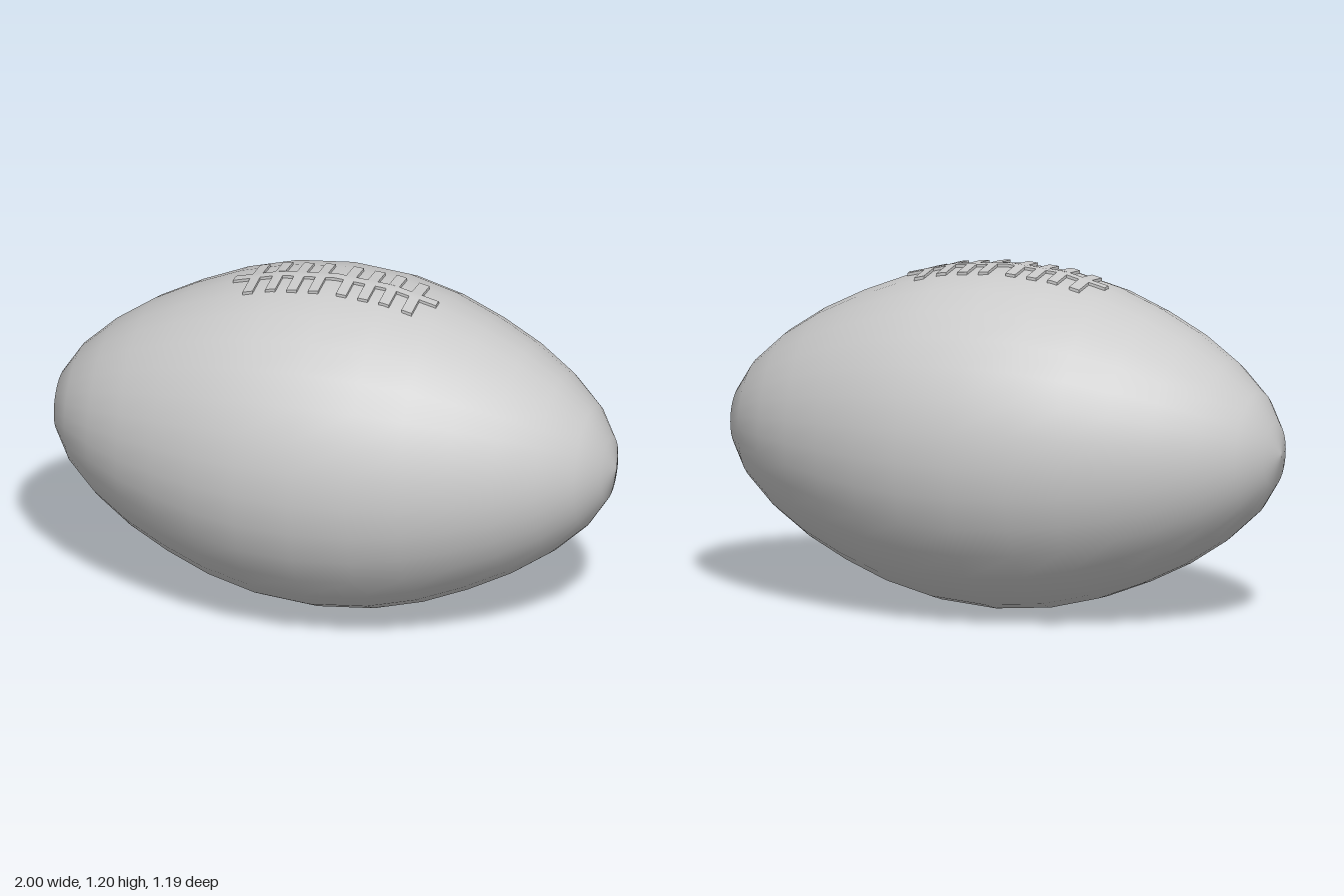
import * as THREE from 'three';

const CENTER_Y = 0.595;
const SIDES = 32;
// Half profile of the ball: distance along x, radius
const PROFILE = [
  [0, 0.595], [0.2, 0.578], [0.37, 0.535], [0.525, 0.473], [0.67, 0.4],
  [0.8, 0.313], [0.91, 0.212], [0.976, 0.11], [1, 0.01], [1, 0],
];
const material = new THREE.MeshStandardMaterial({ color: 0xcccccc });

// Radius of the ball at a distance along x
function radiusAt(x) {
  const d = Math.abs(x);
  const i = PROFILE.findIndex((p) => p[0] >= d && p[0] > 0);
  const [x0, r0] = PROFILE[i - 1];
  const [x1, r1] = PROFILE[i];
  return r0 + (r1 - r0) * (d - x0) / (x1 - x0);
}

// Height of the ball's top near the centre line
function surfaceY(x, z) {
  return CENTER_Y + radiusAt(x) - Math.abs(z) * Math.tan(Math.PI / SIDES);
}

// A strip of lace laid on the curved surface
function lace(name, x, z, width, depth, segX, segZ) {
  const geometry = new THREE.BoxGeometry(width, 1, depth, segX, 1, segZ);
  geometry.translate(x, 0, z);
  const pos = geometry.attributes.position;
  for (let i = 0; i < pos.count; i++) {
    const offset = pos.getY(i) > 0 ? 0.01 : -0.01;
    pos.setY(i, surfaceY(pos.getX(i), pos.getZ(i)) + offset);
  }
  geometry.computeVertexNormals();
  const mesh = new THREE.Mesh(geometry, material);
  mesh.name = name;
  return mesh;
}

export function createModel() {
  const group = new THREE.Group();
  group.name = 'ball';

  // Pointed ball body, turned around the x axis
  const half = PROFILE.map(([x, r]) => new THREE.Vector2(r, x));
  const mirrored = half.slice(1).reverse().map((p) => new THREE.Vector2(p.x, -p.y));
  const body = new THREE.Mesh(new THREE.LatheGeometry([...mirrored, ...half], SIDES), material);
  body.name = 'body';
  body.rotation.z = -Math.PI / 2;
  body.position.y = CENTER_Y;
  group.add(body);

  // Lacing: one long seam strip with eight cross stitches
  const laces = new THREE.Group();
  laces.name = 'laces';
  laces.add(lace('seamStrip', 0, 0, 0.724, 0.036, 24, 2));
  for (const side of [-1, 1]) {
    for (const x of [0.05, 0.127, 0.203, 0.284]) {
      for (const end of [-1, 1]) {
        laces.add(lace('crossStitch', side * x, end * 0.064, 0.036, 0.096, 2, 1));
      }
    }
  }
  group.add(laces);
  return group;
}
